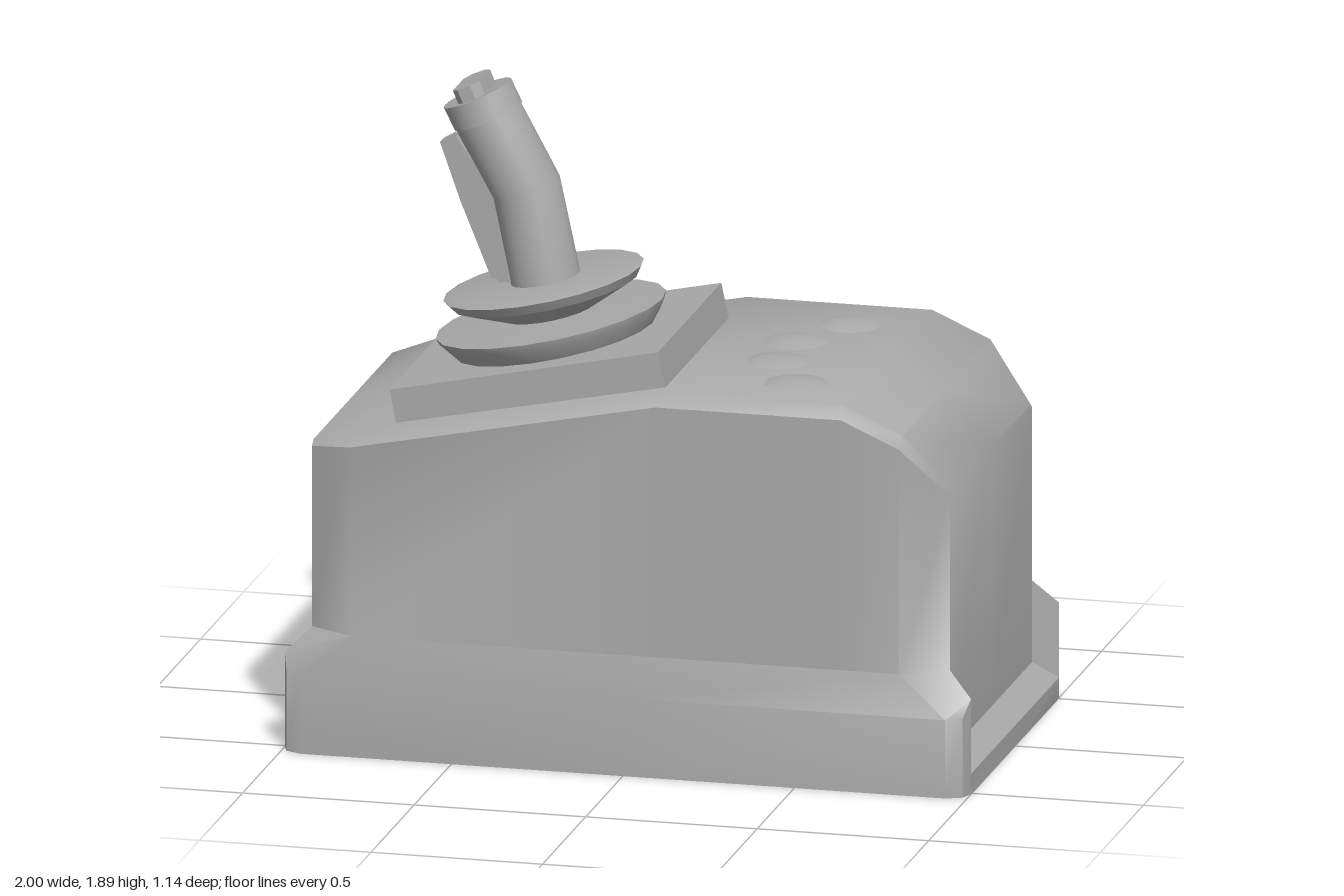
import * as THREE from 'three';
import { toCreasedNormals } from 'three/addons/utils/BufferGeometryUtils.js';

const grey = new THREE.MeshStandardMaterial({ color: 0xaaaaaa });
grey.name = 'plain grey';

function add(parent, name, geometry, x = 0, y = 0, z = 0) {
  const mesh = new THREE.Mesh(geometry, grey);
  mesh.name = name;
  mesh.position.set(x, y, z);
  parent.add(mesh);
  return mesh;
}

// Housing: lofted upper shell, flared sides, end recesses and corner posts
function housingGeometry() {
  const positions = [];
  const face = (points, sx, sz) => {
    const p = points.map(([x, y, z]) => [x * sx, y, z * sz]);
    if (sx * sz < 0) p.reverse();
    for (let i = 1; i < p.length - 1; i++) positions.push(...p[0], ...p[i], ...p[i + 1]);
  };
  // x, wall half depth, wall top, roof half depth, roof height
  const stations = [
    [-0.93, 0.475, 0.88, 0.455, 0.895],
    [-0.8, 0.55, 0.905, 0.51, 0.935],
    [0.09, 0.55, 1.085, 0.51, 1.115],
    [0.63, 0.55, 1.085, 0.51, 1.115],
    [0.8, 0.55, 1.01, 0.51, 1.04],
    [0.93, 0.475, 0.86, 0.455, 0.875],
  ];
  for (const sz of [1, -1]) {
    for (let i = 0; i < stations.length - 1; i++) {
      const section = ([x, zw, yw, zt, yt]) => [[x, 0.35, zw], [x, yw, zw], [x, yt, zt], [x, yt, 0]];
      const a = section(stations[i]), b = section(stations[i + 1]);
      for (let k = 0; k < 3; k++) face([a[k], b[k], b[k + 1], a[k + 1]], 1, sz);
    }
    for (const sx of [1, -1]) {
      const A = [1, 0, 0.51], B = [0.985, 0, 0.55], C = [0.94, 0, 0.57];
      const At = [1, 0.28, 0.51], Bt = [0.985, 0.23, 0.55], Ct = [0.94, 0.23, 0.57];
      const A0 = [1, 0.06, 0.51], D0 = [0.93, 0.11, 0.475];
      const D = [0.93, 0.35, 0.475], E = [0.8, 0.35, 0.55];
      const [, zw, yw, zt, yt] = stations[sx > 0 ? 5 : 0];
      const faces = [
        [[0, 0, 0.57], C, Ct, [0, 0.23, 0.57]],
        [[0, 0.23, 0.57], Ct, E, [0, 0.35, 0.55]],
        [C, B, Bt, Ct],
        [B, A, At, Bt],
        [Ct, Bt, At, D, E],
        [A0, D0, D, At],
        [A, [1, 0, 0], [1, 0.06, 0], A0],
        [A0, [1, 0.06, 0], [0.93, 0.11, 0], D0],
        [D0, [0.93, 0.11, 0], [0.93, yt, 0], [0.93, yt, zt], [0.93, yw, zw]],
        [[0, 0, 0], [1, 0, 0], A, B, C, [0, 0, 0.57]],
      ];
      faces.forEach((f) => face(f, sx, sz));
    }
  }
  const geometry = new THREE.BufferGeometry();
  geometry.setAttribute('position', new THREE.Float32BufferAttribute(positions, 3));
  return toCreasedNormals(geometry, 0.7);
}

// Bent cylinder: each ring has centre x, y and a tilt in radians
function bentCylinder(radius, rings) {
  const n = rings.length - 1;
  const geometry = new THREE.CylinderGeometry(radius, radius, n, 24, n);
  const pos = geometry.attributes.position;
  for (let i = 0; i < pos.count; i++) {
    const [cx, cy, tilt] = rings[Math.round(pos.getY(i) + n / 2)];
    const x = pos.getX(i);
    pos.setXYZ(i, cx + x * Math.cos(tilt), cy + x * Math.sin(tilt), pos.getZ(i));
  }
  return toCreasedNormals(geometry, 0.6);
}

function extrude(points, depth) {
  const shape = new THREE.Shape(points.map(([x, y]) => new THREE.Vector2(x, y)));
  return new THREE.ExtrudeGeometry(shape, { depth, bevelEnabled: false });
}

function lathe(points, segments) {
  const profile = points.map(([r, y]) => new THREE.Vector2(r, y));
  return toCreasedNormals(new THREE.LatheGeometry(profile, segments), 0.5);
}

export function createModel() {
  const model = new THREE.Group();
  model.name = 'joystick console';
  add(model, 'housing', housingGeometry());

  // Domed push buttons
  const dome = lathe([[0.09, -0.02], [0.09, 0.001], [0.06, 0.009], [0.03, 0.013], [0, 0.014]], 24);
  for (const [x, z] of [[0.44, -0.31], [0.335, -0.105], [0.335, 0.1], [0.44, 0.31]]) {
    add(model, 'pushButton', dome, x, 1.114, z);
  }

  // Sloping mounting plate and rubber bellows
  const mount = new THREE.Group();
  mount.name = 'stickMount';
  mount.position.set(-0.32, 1.135, 0.08);
  mount.rotation.z = 0.207;
  model.add(mount);
  add(mount, 'mountingPlate', new THREE.BoxGeometry(0.8, 0.11, 0.735), 0, -0.055, 0);
  add(mount, 'bellows', lathe([
    [0.29, 0], [0.325, 0.045], [0.333, 0.065], [0.13, 0.075],
    [0.27, 0.138], [0.29, 0.167], [0.27, 0.172], [0, 0.174],
  ], 20));

  // Bent grip and its collar
  const stick = new THREE.Group();
  stick.name = 'stick';
  stick.position.z = 0.08;
  model.add(stick);
  add(stick, 'grip', bentCylinder(0.1, [
    [-0.345, 1.29, 0.22], [-0.405, 1.57, 0.34], [-0.518, 1.775, 0.44],
  ]));
  add(stick, 'collar', bentCylinder(0.104, [[-0.515, 1.77, 0.42], [-0.547, 1.835, 0.42]]));

  // Split thumb button on the tip
  const tip = new THREE.Group();
  tip.name = 'thumbButton';
  tip.position.set(-0.547, 1.83, 0);
  tip.rotation.z = 0.4;
  stick.add(tip);
  const half = extrude([
    [-0.042, 0.004], [0.042, 0.004], [0.042, 0.062], [0.02, 0.088], [-0.02, 0.088], [-0.042, 0.062],
  ], 0.045);
  for (const side of [1, -1]) {
    const mesh = add(tip, 'thumbButtonHalf', half, 0, side > 0 ? 0.045 : 0, 0);
    mesh.rotation.x = side * Math.PI / 2;
  }

  // Lever along the outside of the grip, with a narrow outer rib
  add(stick, 'lever', extrude([
    [-0.625, 1.695], [-0.6, 1.715], [-0.53, 1.62], [-0.46, 1.5], [-0.42, 1.3],
    [-0.475, 1.295], [-0.56, 1.52],
  ], 0.09), 0, 0, -0.045);
  add(stick, 'leverRib', extrude([
    [-0.65, 1.69], [-0.615, 1.71], [-0.55, 1.52], [-0.465, 1.3], [-0.5, 1.3], [-0.59, 1.52],
  ], 0.05), 0, 0, -0.025);

  return model;
}
